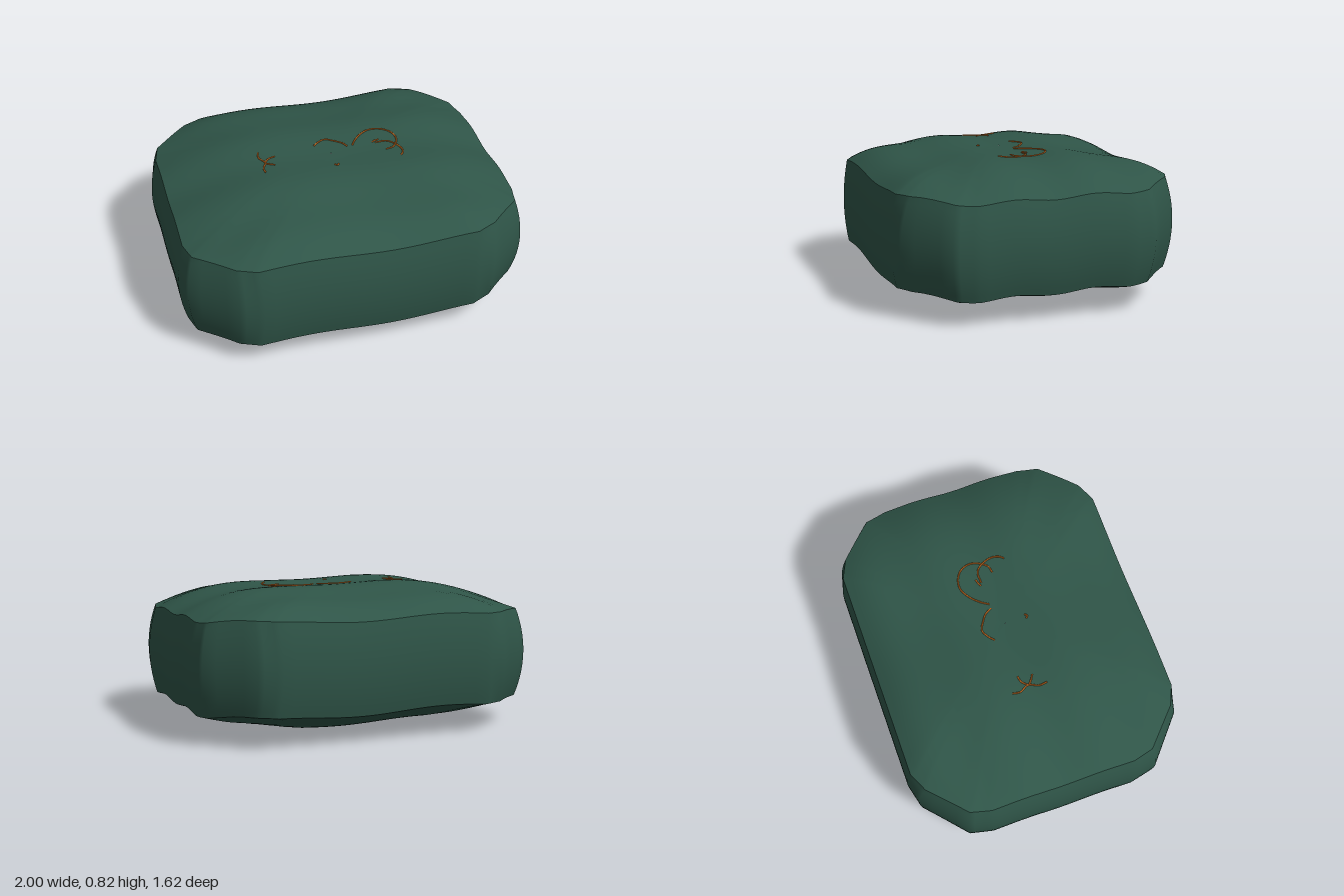
import * as THREE from 'three';

// One corner of the plan outline [x, z], at the rims and at the widest level
const RIM = [[0.96, 0.42], [0.93, 0.54], [0.73, 0.73], [0.62, 0.78]];
const BELLY = [[1.0, 0.43], [0.97, 0.57], [0.73, 0.78], [0.6, 0.81]];

// Mirrors a corner into all quadrants and subdivides the edges
function outline(corner) {
  const rev = [...corner].reverse();
  const pts = [
    ...corner,
    ...rev.map(([x, z]) => [-x, z]),
    ...corner.map(([x, z]) => [-x, -z]),
    ...rev.map(([x, z]) => [x, -z]),
  ];
  const out = [];
  pts.forEach(([x, z], i) => {
    const [x2, z2] = pts[(i + 1) % pts.length];
    const n = i % 4 === 3 ? 18 : 4;
    for (let k = 0; k < n; k++) {
      const t = k / n;
      out.push([x + (x2 - x) * t, z + (z2 - z) * t]);
    }
  });
  return out;
}

const rim = outline(RIM);
const belly = outline(BELLY);

// Gentle unevenness of the worn surface
const wave = (x, z) =>
  -0.012 * Math.cos(6.3 * (x - 0.15)) - 0.01 * Math.sin(2.2 * z) - 0.009 * Math.cos(14 * z);

// Cap heights, s = 0 at the centre and 1 at the rim
const topY = (s, x, z) => 0.67 + 0.14 * (1 - s ** 3.3) + wave(x, z) * (0.5 + 0.5 * s);
const bottomY = (s, x, z) => 0.158 - 0.142 * (1 - s ** 2.7) + wave(x, z) * (0.5 + 0.5 * s);

// Closed rings joined from bottom to top
function loft(rings) {
  const n = rings[0].length;
  const index = [];
  for (let j = 0; j < rings.length - 1; j++) {
    for (let i = 0; i < n; i++) {
      const a = j * n + i, b = j * n + ((i + 1) % n);
      index.push(a, a + n, b, b, a + n, b + n);
    }
  }
  const geo = new THREE.BufferGeometry();
  geo.setAttribute('position', new THREE.Float32BufferAttribute(rings.flat(2), 3));
  geo.setIndex(index);
  geo.computeVertexNormals();
  return geo;
}

function capRings(height) {
  const rings = [];
  for (let j = 0; j <= 20; j++) {
    const s = Math.max(j / 20, 0.002);
    rings.push(rim.map(([x, z]) => [x * s, height(s, x * s, z * s), z * s]));
  }
  return rings;
}

function wallRings() {
  const rings = [];
  for (let j = 0; j <= 14; j++) {
    const t = j / 14;
    const bulge = 1 - (2 * t - 1) ** 2;
    rings.push(rim.map(([x, z], i) => {
      const y0 = bottomY(1, x, z), y1 = topY(1, x, z);
      return [
        x + (belly[i][0] - x) * bulge,
        y0 + (y1 - y0) * t,
        z + (belly[i][1] - z) * bulge,
      ];
    }));
  }
  return rings;
}

// Engraved strokes on the top, as [x, z] paths
const STROKES = {
  leftBar: [[-0.41, -0.105], [-0.415, -0.06], [-0.39, -0.005], [-0.412, 0.05], [-0.41, 0.1]],
  leftUpperTwig: [[-0.325, -0.045], [-0.36, -0.036], [-0.393, -0.003]],
  leftLowerTwig: [[-0.393, -0.003], [-0.37, 0.018], [-0.34, 0.037]],
  middleArch: [[-0.08, -0.09], [-0.045, -0.12], [0, -0.14], [0.05, -0.115], [0.09, -0.085], [0.113, -0.045]],
  smallTick: [[-0.014, 0.121], [0, 0.132], [0.012, 0.121]],
  rightArch: [[0.14, -0.045], [0.17, -0.092], [0.22, -0.142], [0.28, -0.172], [0.34, -0.165],
    [0.39, -0.13], [0.412, -0.08], [0.408, -0.035], [0.39, 0]],
  rightHook: [[0.28, -0.045], [0.35, -0.043], [0.39, -0.003], [0.41, 0.055], [0.403, 0.1], [0.38, 0.13]],
  rightLowerTwig: [[0.39, 0], [0.365, 0.027], [0.32, 0.037]],
  rightUpperTwig: [[0.262, -0.052], [0.285, -0.063], [0.308, -0.07]],
};

function strokeGeometry(path) {
  const pts = path.map(([x, z]) => {
    const s = Math.max(Math.abs(x) / 0.96, Math.abs(z) / 0.78);
    return new THREE.Vector3(x, topY(s, x, z) + 0.001, z);
  });
  return new THREE.TubeGeometry(new THREE.CatmullRomCurve3(pts), path.length * 5, 0.005, 6);
}

export function createModel() {
  const group = new THREE.Group();
  group.name = 'carvedStone';

  const green = new THREE.MeshStandardMaterial({ color: 0x2f5548 });
  green.name = 'deepGreen';
  const orange = new THREE.MeshStandardMaterial({ color: 0xb8651f });
  orange.name = 'copperOrange';

  const add = (name, geo, mat, parent = group) => {
    const mesh = new THREE.Mesh(geo, mat);
    mesh.name = name;
    parent.add(mesh);
  };

  // Block: separate surfaces keep the rims sharp
  add('bottomCap', loft(capRings(bottomY)), green);
  add('sideWall', loft(wallRings()), green);
  add('topCap', loft(capRings(topY).reverse()), green);

  // Thin strokes lying on the top
  const marks = new THREE.Group();
  marks.name = 'topMarks';
  for (const [name, path] of Object.entries(STROKES)) add(name, strokeGeometry(path), orange, marks);
  group.add(marks);

  return group;
}
